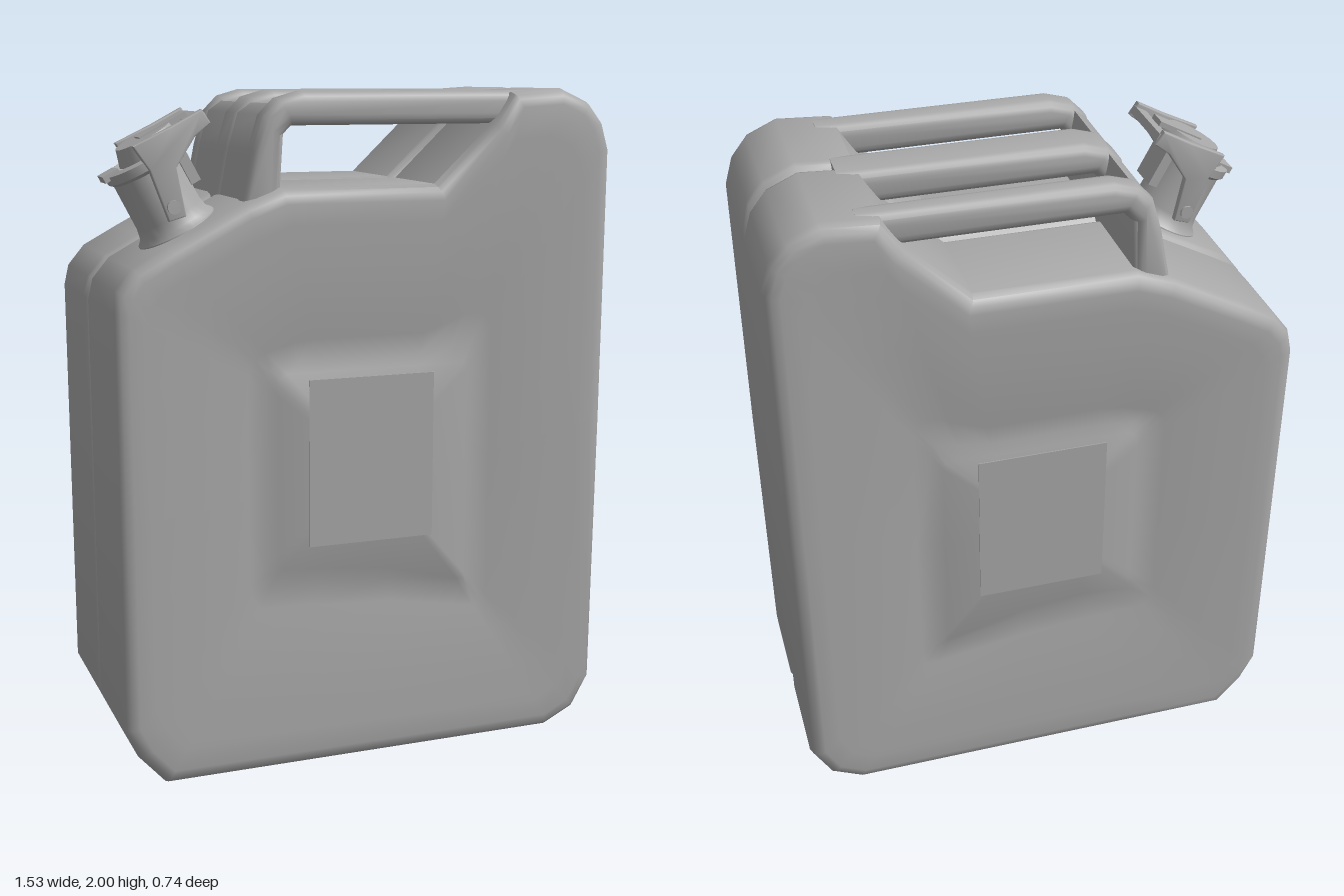
import * as THREE from 'three';
import { toCreasedNormals } from 'three/addons/utils/BufferGeometryUtils.js';

const V2 = (p) => new THREE.Vector2(p[0], p[1]);

// Outline of the can (counter-clockwise) paired with its point on the centre field: [x, y, innerX, innerY]
const OUTLINE = [
  [-0.64, 0, -0.28, 0.62], [-0.3, 0, -0.15, 0.61], [0.15, 0, 0.05, 0.59], [0.6, 0, 0.28, 0.53],
  [0.7, 0.05, 0.3, 0.53], [0.757, 0.15, 0.3, 0.55], [0.762, 1, 0.3, 0.9], [0.762, 1.82, 0.3, 1.18],
  [0.738, 1.9, 0.295, 1.19], [0.69, 1.96, 0.29, 1.2], [0.6, 2, 0.28, 1.2], [0.44, 1.99, 0.26, 1.2],
  [0.38, 1.9, 0.24, 1.2], [0.2, 1.73, 0.15, 1.2], [-0.27, 1.73, -0.15, 1.2], [-0.38, 1.69, -0.21, 1.2],
  [-0.6, 1.575, -0.26, 1.2], [-0.7, 1.52, -0.28, 1.19], [-0.75, 1.46, -0.29, 1.17], [-0.764, 1.4, -0.29, 1.14],
  [-0.764, 0.8, -0.29, 0.85], [-0.764, 0.18, -0.29, 0.67], [-0.72, 0.09, -0.29, 0.64],
];

// Rings from the seam to the centre: [z, inset from outline, blend towards the inner loop]
const RINGS = [
  [0, 0.03, 0], [0.01, 0.018, 0], [0.02, 0.005, 0], [0.035, 0, 0], [0.33, 0, 0], [0.354, 0.008, 0],
  [0.367, 0.022, 0], [0.372, 0.045, 0], [0.371, 0.045, 0.12], [0.367, 0.045, 0.35], [0.36, 0.045, 0.6],
  [0.349, 0.045, 0.8], [0.342, 0.045, 0.93], [0.356, 0.045, 1],
];

// Point i of the outline moved inwards along its mitred normal
function insetPoint(i, d) {
  const n = OUTLINE.length;
  const a = V2(OUTLINE[(i + n - 1) % n]), p = V2(OUTLINE[i]), b = V2(OUTLINE[(i + 1) % n]);
  const d1 = p.clone().sub(a).normalize(), d2 = b.sub(p).normalize();
  const n1 = new THREE.Vector2(-d1.y, d1.x), n2 = new THREE.Vector2(-d2.y, d2.x);
  const m = n1.clone().add(n2).normalize();
  return p.addScaledVector(m, d / m.dot(n1));
}

// One pressed half shell; side is +1 for front and -1 for back
function halfShell(side) {
  const pos = [], idx = [], n = OUTLINE.length;
  for (const [z, inset, t] of RINGS) {
    for (let i = 0; i < n; i++) {
      const p = insetPoint(i, inset).lerp(new THREE.Vector2(OUTLINE[i][2], OUTLINE[i][3]), t);
      pos.push(p.x, p.y, z * side);
    }
  }
  const tri = (a, b, c) => (side > 0 ? idx.push(a, b, c) : idx.push(a, c, b));
  for (let r = 0; r < RINGS.length - 1; r++) {
    for (let i = 0; i < n; i++) {
      const a = r * n + i, b = r * n + ((i + 1) % n);
      tri(a, b, b + n);
      tri(a, b + n, a + n);
    }
  }
  const last = (RINGS.length - 1) * n, mid = pos.length / 3;
  pos.push(0, 0.9, 0.356 * side);
  for (let i = 0; i < n; i++) tri(last + i, last + ((i + 1) % n), mid);
  const g = new THREE.BufferGeometry();
  g.setAttribute('position', new THREE.Float32BufferAttribute(pos, 3));
  g.setIndex(idx);
  return toCreasedNormals(g, 0.75);
}

// Profile in x and y, extruded between z0 and z1 with softened edges
function bevelled(points, z0, z1, bevel) {
  const g = new THREE.ExtrudeGeometry(new THREE.Shape(points.map(V2)), {
    depth: z1 - z0 - 2 * bevel, bevelEnabled: true, bevelThickness: bevel,
    bevelSize: bevel, bevelOffset: -bevel, bevelSegments: 3,
  });
  g.translate(0, 0, z0 + bevel);
  return toCreasedNormals(g, 0.7);
}

export function createModel() {
  const model = new THREE.Group();
  const metal = new THREE.MeshStandardMaterial({ color: 0xa8a8a8 });
  metal.name = 'greyMetal';
  metal.side = THREE.DoubleSide;
  const add = (parent, name, geometry, x = 0, y = 0, z = 0) => {
    const m = new THREE.Mesh(geometry, metal);
    m.name = name;
    m.position.set(x, y, z);
    parent.add(m);
    return m;
  };

  // Body halves and their square centre panels
  for (const side of [1, -1]) {
    const label = side > 0 ? 'front' : 'back';
    add(model, label + 'Shell', halfShell(side));
    add(model, label + 'CentrePanel', new THREE.BoxGeometry(0.39, 0.5, 0.008), 0, 0.93, side * 0.355);
  }

  // Three carrying bars joined by a wall at the spout end
  const bar = [[-0.38, 1.66], [-0.345, 1.83], [-0.315, 1.93], [-0.27, 1.975], [-0.2, 1.995], [0.5, 1.995],
    [0.5, 1.9], [-0.23, 1.9], [-0.26, 1.87], [-0.27, 1.66]];
  const wall = [[-0.375, 1.66], [-0.34, 1.83], [-0.31, 1.93], [-0.27, 1.96], [-0.255, 1.88], [-0.27, 1.66]];
  for (const [name, z0, z1] of [['frontHandle', 0.235, 0.335], ['middleHandle', -0.08, 0.07], ['backHandle', -0.335, -0.245]]) {
    add(model, name, bevelled(bar, z0, z1, 0.03));
  }
  add(model, 'handleWall', bevelled(wall, -0.325, 0.325, 0.015));

  // Tilted spout on the front half; its local y runs along the neck
  const spout = new THREE.Group();
  spout.name = 'spout';
  spout.position.set(-0.53, 1.61, 0.17);
  spout.rotation.z = 0.49;
  model.add(spout);
  const neck = [[0.125, -0.03], [0.12, 0.005], [0.106, 0.02], [0.1, 0.05], [0.098, 0.19], [0.11, 0.2],
    [0.11, 0.225], [0.085, 0.23], [0.08, 0.15], [0, 0.15]].map(V2);
  add(spout, 'neck', toCreasedNormals(new THREE.LatheGeometry(neck, 28), 0.6));

  // Cap with hinge bracket, side clamps and lever
  add(spout, 'cap', new THREE.CylinderGeometry(0.085, 0.1, 0.05, 16), 0.04, 0.25, 0);
  const clamp = [[-0.03, 0.05], [0.02, 0.04], [0.06, 0.17], [0.15, 0.22], [0.205, 0.23], [0.2, 0.275],
    [0.1, 0.275], [-0.02, 0.28], [-0.01, 0.2]];
  for (const z of [-0.11, 0.11]) {
    add(spout, 'clampArm', bevelled(clamp, z - 0.012, z + 0.012, 0.004));
    const pin = add(spout, 'clampPin', new THREE.CylinderGeometry(0.02, 0.02, 0.04, 10), 0, 0.08, z);
    pin.rotation.x = Math.PI / 2;
  }
  add(spout, 'lever', new THREE.BoxGeometry(0.04, 0.025, 0.22), 0.185, 0.25, 0);
  add(spout, 'capBridge', new THREE.BoxGeometry(0.15, 0.015, 0.06), 0.1, 0.272, 0);
  add(spout, 'hingeBracket', new THREE.BoxGeometry(0.03, 0.13, 0.1), 0.105, 0.16, 0);
  add(spout, 'latchTab', new THREE.BoxGeometry(0.05, 0.02, 0.07), -0.095, 0.225, 0);

  return model;
}
